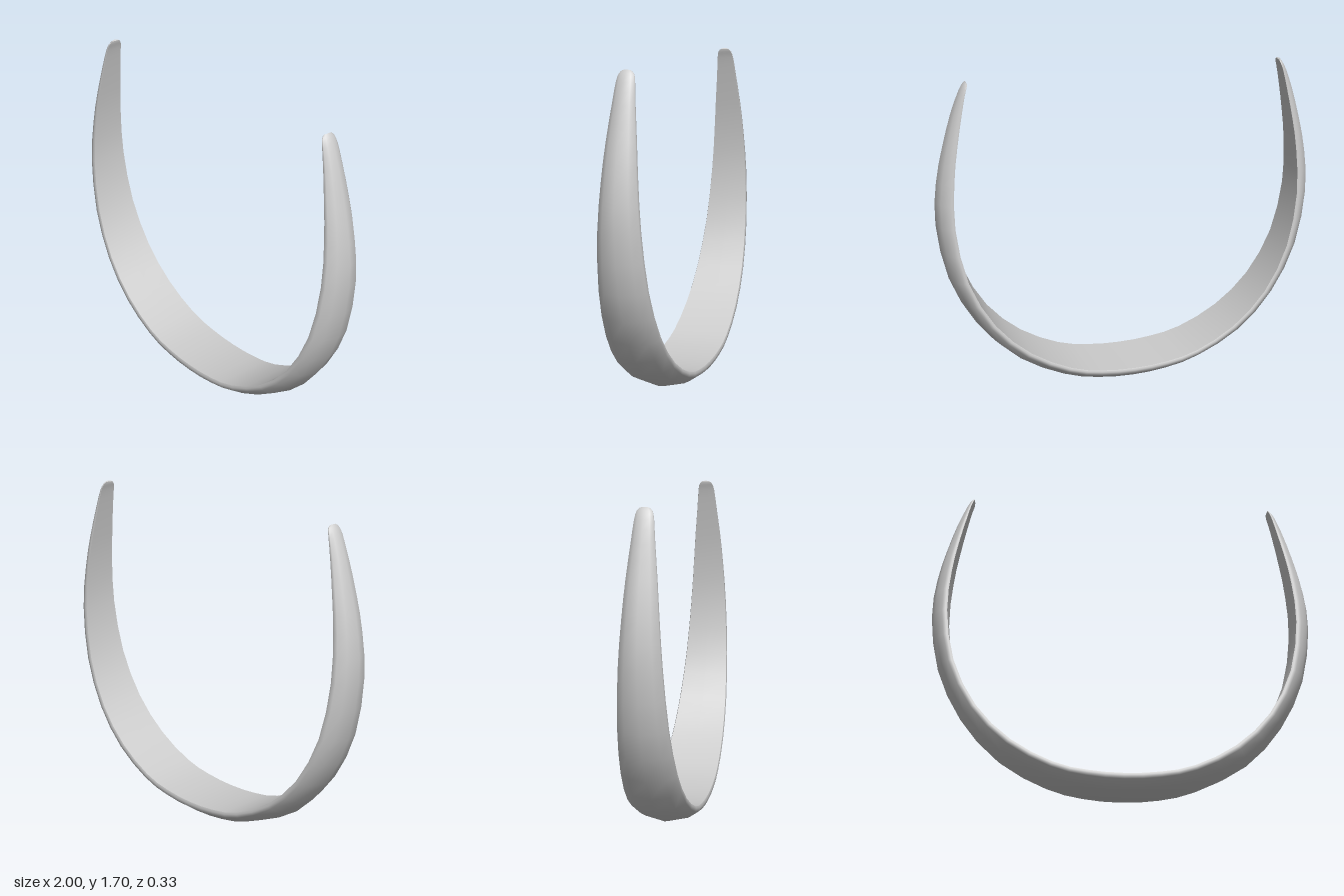
import * as THREE from 'three';

// Half of the band from bottom centre to tip: outer x, y, inner x, y, half width
const STATIONS = [
  [0, 0.003, 0, 0.096, 0.163],
  [0.2, 0.019, 0.18, 0.108, 0.162],
  [0.39, 0.07, 0.35, 0.147, 0.158],
  [0.63, 0.2, 0.56, 0.26, 0.15],
  [0.82, 0.41, 0.74, 0.44, 0.138],
  [0.95, 0.68, 0.865, 0.69, 0.122],
  [1, 0.98, 0.915, 0.98, 0.104],
  [0.985, 1.2, 0.905, 1.22, 0.087],
  [0.945, 1.38, 0.88, 1.39, 0.073],
  [0.895, 1.55, 0.848, 1.55, 0.056],
  [0.855, 1.65, 0.825, 1.65, 0.046],
  [0.832, 1.69, 0.813, 1.685, 0.037],
  [0.818, 1.705, 0.81, 1.7, 0.022],
];

// Cross-section: [fraction of half width, fraction from inner to outer face]
const OUTER = [[-0.97, 0], [-1, 0.12], [-0.98, 0.32], [-0.65, 0.73], [0, 1],
  [0.65, 0.73], [0.98, 0.32], [1, 0.12], [0.97, 0]];
const INNER = [[0.97, 0], [0, 0], [-0.97, 0]];

function sampleBand() {
  const mirrored = STATIONS.slice(1).reverse().map(([a, b, c, d, w]) => [-a, b, -c, d, w]);
  const all = [...mirrored, ...STATIONS];
  const curve = (f) => new THREE.CatmullRomCurve3(all.map(f), false, 'catmullrom', 0.5);
  const outer = curve((s) => new THREE.Vector3(s[0], s[1], s[4]));
  const inner = curve((s) => new THREE.Vector3(s[2], s[3], s[4]));
  const n = (all.length - 1) * 2;
  return Array.from({ length: n + 1 }, (_, i) => [outer.getPoint(i / n), inner.getPoint(i / n)]);
}

function createBandGeometry() {
  const rings = sampleBand();
  const positions = [], index = [];
  const addPoint = ([o, i], [z, t]) => positions.push(
    i.x + (o.x - i.x) * t, i.y + (o.y - i.y) * t, z * o.z);

  // Separate strips keep the inner rim sharp
  for (const section of [OUTER, INNER]) {
    const start = positions.length / 3, m = section.length;
    rings.forEach((ring) => section.forEach((p) => addPoint(ring, p)));
    for (let r = 0; r < rings.length - 1; r++) {
      for (let k = 0; k < m - 1; k++) {
        const a = start + r * m + k, b = a + m;
        index.push(a, b, a + 1, b, b + 1, a + 1);
      }
    }
  }

  // Flat caps at both tips
  for (const [ring, flip] of [[rings[0], false], [rings[rings.length - 1], true]]) {
    const start = positions.length / 3;
    OUTER.forEach((p) => addPoint(ring, p));
    for (let k = 1; k < OUTER.length - 1; k++) {
      index.push(start, start + k + (flip ? 1 : 0), start + k + (flip ? 0 : 1));
    }
  }

  const geometry = new THREE.BufferGeometry();
  geometry.setAttribute('position', new THREE.Float32BufferAttribute(positions, 3));
  geometry.setIndex(index);
  geometry.computeVertexNormals();
  return geometry;
}

export function createModel() {
  const group = new THREE.Group();
  group.name = 'openBand';
  const band = new THREE.Mesh(createBandGeometry(), new THREE.MeshStandardMaterial({ color: 0xcccccc }));
  band.name = 'taperedBand';
  group.add(band);
  return group;
}
